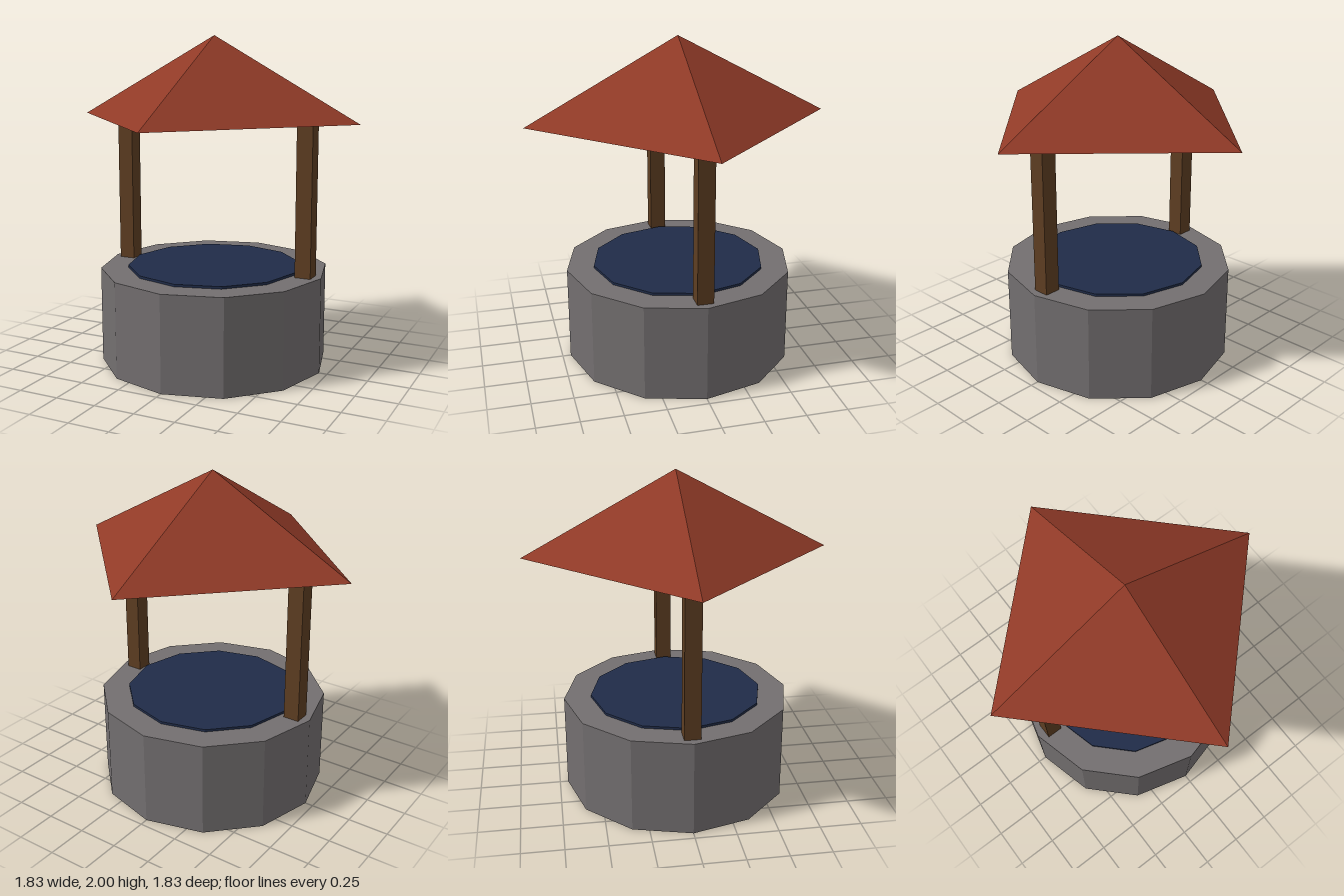
import * as THREE from 'three';

const mat = (name, color, extra = {}) => {
  const m = new THREE.MeshStandardMaterial({ color, flatShading: true, ...extra });
  m.name = name;
  return m;
};

export function createModel() {
  const stone = mat('stone grey', 0x736f70);
  const wood = mat('wood brown', 0x5e3e22);
  const tile = mat('roof red', 0x903a27, { side: THREE.DoubleSide });
  const blue = mat('water blue', 0x202c48);

  const well = new THREE.Group();
  well.name = 'well';
  const add = (name, geometry, material, x, y) => {
    const mesh = new THREE.Mesh(geometry, material);
    mesh.name = name;
    mesh.position.set(x, y, 0);
    well.add(mesh);
  };

  // Twelve-sided stone base with the water disc standing just proud of it
  const baseTop = 0.587;
  add('stoneBase', new THREE.CylinderGeometry(0.7, 0.7, baseTop, 12), stone, 0, baseTop / 2);
  add('water', new THREE.CylinderGeometry(0.533, 0.533, 0.03, 12), blue, 0, 0.587);

  // Square posts reaching up to the eaves
  const eaves = 1.505;
  const postHeight = eaves - baseTop;
  for (const side of [-1, 1]) {
    add(side > 0 ? 'leftPost' : 'rightPost', new THREE.BoxGeometry(0.098, postHeight, 0.098),
      wood, side * 0.6, baseTop + postHeight / 2);
  }

  // Hollow pyramid roof, corners on the axes
  const roofHeight = 2 - eaves;
  add('roof', new THREE.ConeGeometry(0.914, roofHeight, 4, 1, true), tile, 0, eaves + roofHeight / 2);

  return well;
}
